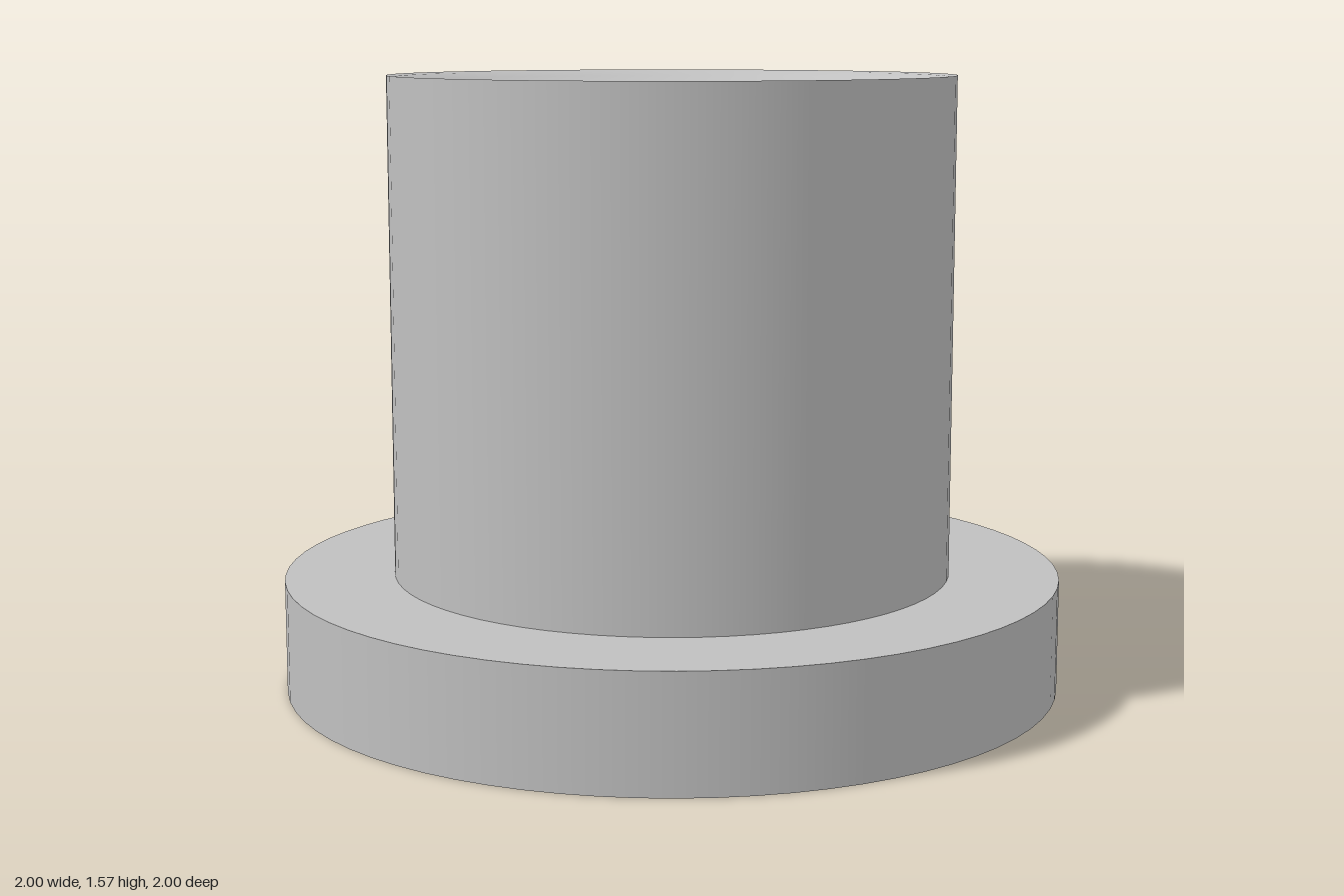
import * as THREE from 'three';

const SEGMENTS = 72;

export function createModel() {
  const metal = new THREE.MeshStandardMaterial({ color: 0xc0c0c0 });
  metal.name = 'grey metal';
  const group = new THREE.Group();
  group.name = 'flangedBushing';

  // Radii and heights
  const flangeR = 1, bodyR = 0.72, boreR = 0.255, counterR = 0.3;
  const flangeTop = 0.29, top = 1.565, dishBottom = 1.47;

  // Each surface is its own lathe, so the corners between them stay sharp.
  // Profiles run counterclockwise around the section: [radius, height].
  const addSurface = (name, profile) => {
    const points = profile.map(([r, y]) => new THREE.Vector2(r, y));
    const mesh = new THREE.Mesh(new THREE.LatheGeometry(points, SEGMENTS), metal);
    mesh.name = name;
    group.add(mesh);
  };

  // Flange
  addSurface('flangeUnderside', [[counterR, 0], [flangeR, 0]]);
  addSurface('flangeRim', [[flangeR, 0], [flangeR, flangeTop]]);
  addSurface('flangeTop', [[flangeR, flangeTop], [bodyR, flangeTop]]);

  // Cylindrical body
  addSurface('bodyWall', [[bodyR, flangeTop], [bodyR, top]]);

  // Dished top: rounded lip, steep shoulder, flattening towards the bore
  addSurface('dishedTop', [
    [bodyR, top], [0.7, 1.561], [0.675, 1.549], [0.64, 1.53], [0.56, 1.504],
    [0.45, 1.485], [0.35, 1.475], [boreR, dishBottom],
  ]);

  // Bore with a wider counterbore from below
  addSurface('boreWall', [[boreR, dishBottom], [boreR, flangeTop]]);
  addSurface('counterboreStep', [[boreR, flangeTop], [counterR, flangeTop]]);
  addSurface('counterboreWall', [[counterR, flangeTop], [counterR, 0]]);

  return group;
}
